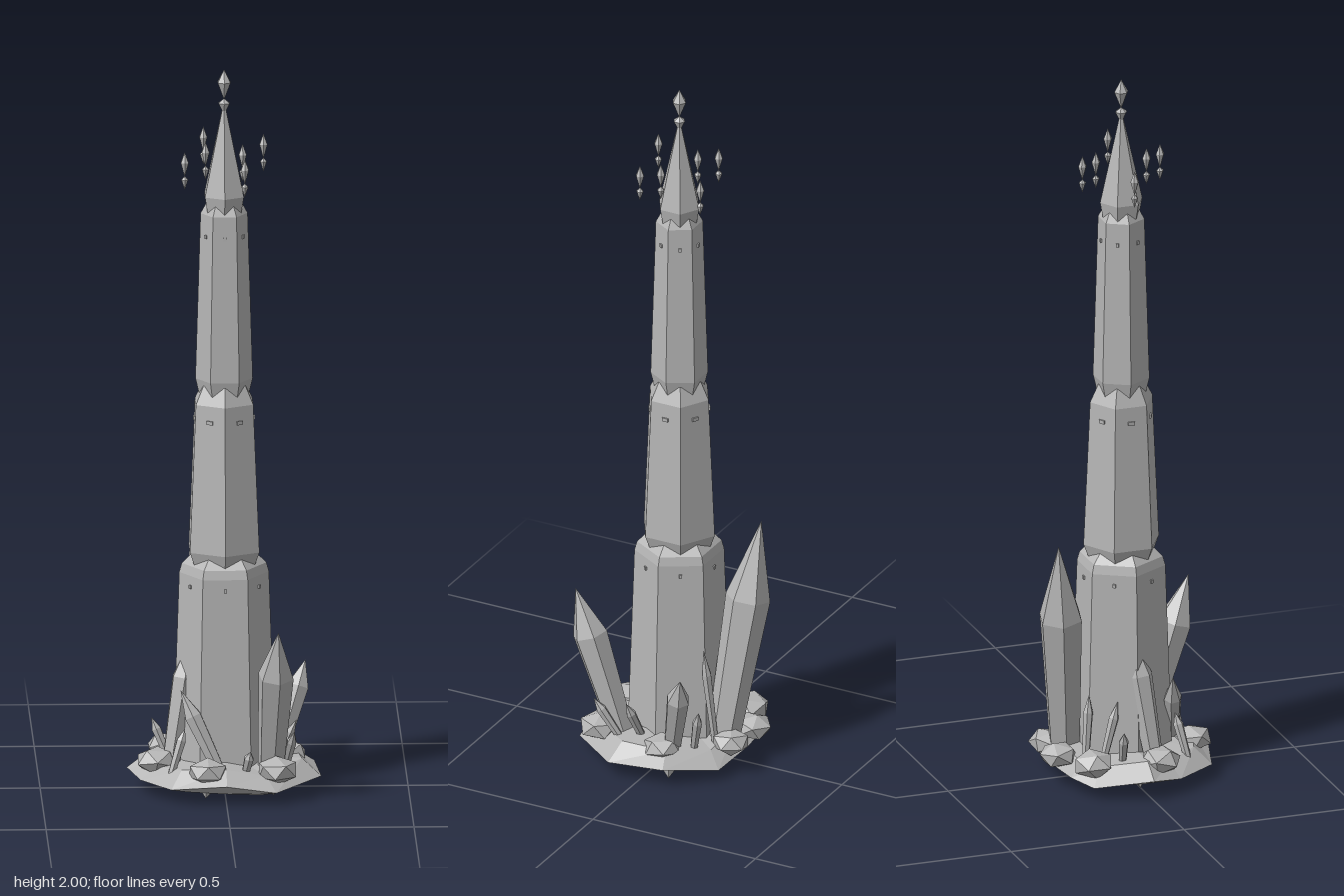
import * as THREE from 'three';

const stone = new THREE.MeshStandardMaterial({ color: 0xb6b6b6, flatShading: true });
stone.name = 'grey stone';

function add(parent, geometry, name) {
  const mesh = new THREE.Mesh(geometry, stone);
  mesh.name = name;
  parent.add(mesh);
  return mesh;
}

// Faceted solid from [radius, height] pairs, listed bottom to top
function faceted(profile, sides = 6) {
  return new THREE.LatheGeometry(profile.map(([r, y]) => new THREE.Vector2(r, y)), sides).toNonIndexed();
}

// Crystal growing from a base point to a tip, widest at the shoulder
function crystal(parent, name, base, tip, radius, shoulder = 0.7, sides = 6, turn = 0) {
  const from = new THREE.Vector3(...base);
  const axis = new THREE.Vector3(...tip).sub(from);
  const h = axis.length();
  const geometry = faceted([[0, 0], [radius * 0.7, 0], [radius, h * shoulder], [0, h]], sides);
  geometry.rotateY(turn);
  const mesh = add(parent, geometry, name);
  mesh.position.copy(from);
  mesh.quaternion.setFromUnitVectors(new THREE.Vector3(0, 1, 0), axis.normalize());
}

// Floating island: rings scaled from one rough outline
function islandGeometry() {
  const outline = [[0.262, 0.08], [0.135, 0.235], [0, 0.25], [-0.15, 0.208], [-0.23, 0.09], [-0.265, 0],
    [-0.205, -0.152], [-0.14, -0.195], [0, -0.215], [0.14, -0.195], [0.248, -0.08]];
  const n = outline.length;
  const rings = [[0, 0.012, 0], [0.7, 0.018, 0.004], [1, 0.045, 0.012], [0.8, 0.085, 0.012], [0, 0.1, 0]];
  const pos = [], index = [];
  rings.forEach(([s, y, wobble]) => outline.forEach(([x, z], j) =>
    pos.push(x * s, y + wobble * Math.sin(j * 2.3 + s * 3), z * s)));
  for (let i = 0; i < rings.length - 1; i++) {
    for (let j = 0; j < n; j++) {
      const a = i * n + j, b = i * n + (j + 1) % n;
      if (i > 0) index.push(a, a + n, b);
      if (i < rings.length - 2) index.push(b, a + n, b + n);
      else index.pop(), index.push(b);
      if (i === 0) index.push(b, a + n, b + n);
    }
  }
  const g = new THREE.BufferGeometry();
  g.setAttribute('position', new THREE.Float32BufferAttribute(pos, 3));
  g.setIndex(index);
  const flat = g.toNonIndexed();
  flat.computeVertexNormals();
  return flat;
}

// Double pointed gem with a smaller drop under it
function gem(parent, name, x, top, z, radius, height) {
  const group = new THREE.Group();
  group.name = name;
  add(group, faceted([[0, -height], [radius, -height * 0.42], [0, 0]], 6), 'gemBody');
  add(group, faceted([[0, -height * 1.5], [radius * 0.85, -height * 1.1], [0, -height * 0.95]], 6), 'gemDrop');
  group.position.set(x, top, z);
  parent.add(group);
}

export function createModel() {
  const model = new THREE.Group();
  model.name = 'crystalTower';

  // Ground
  add(model, islandGeometry(), 'island');
  const rocks = [
    [-0.15, -0.135, 0.06], [0.06, -0.19, 0.055], [-0.185, 0.045, 0.06], [-0.05, 0.185, 0.058],
    [0.175, -0.04, 0.055], [0.14, 0.17, 0.06], [-0.05, -0.2, 0.055],
  ];
  rocks.forEach(([x, z, r], i) => {
    const geometry = new THREE.IcosahedronGeometry(r, 0);
    geometry.rotateX(i * 1.7).rotateY(i * 2.1).scale(1, 0.65, 1);
    add(model, geometry, 'rock').position.set(x, 0.085, z);
  });

  // Small points under the island
  [[0.12, 0.1], [-0.05, 0.14], [-0.14, 0], [0.04, -0.13], [0.17, -0.06], [-0.1, -0.11]].forEach(([x, z], i) =>
    crystal(model, 'undersideCrystal', [x, 0.04, z], [x * 1.1, i % 2 ? 0.003 : 0, z * 1.1], 0.02, 0.4, 5));

  // Tower tiers, each turned by half a side from the one below
  const tiers = [
    ['lowerTier', [[0.14, 0.06], [0.122, 0.6], [0.115, 0.625], [0.085, 0.655], [0, 0.655]], true],
    ['middleTier', [[0, 0.615], [0.09, 0.615], [0.109, 0.665], [0.09, 1.075], [0.066, 1.125], [0, 1.125]], false],
    ['upperTier', [[0, 1.085], [0.065, 1.085], [0.078, 1.14], [0.064, 1.6], [0.045, 1.635], [0, 1.635]], true],
    ['spire', [[0, 1.59], [0.05, 1.59], [0.061, 1.65], [0, 1.915]], false],
  ];
  for (const [name, profile, turned] of tiers) {
    const tier = add(model, faceted(profile), name);
    if (turned) tier.rotation.y = Math.PI / 6;
  }

  // Tiny window ledges, one per tower face
  const ledges = [[0.57, 0.107, true], [1.03, 0.08, false], [1.54, 0.057, true]];
  for (const [y, distance, turned] of ledges) {
    for (let i = 0; i < 6; i++) {
      const angle = (i + (turned ? 0.5 : 0)) * Math.PI / 3;
      const w = turned ? 0.008 : 0.018;
      const ledge = add(model, new THREE.BoxGeometry(0.008, 0.01, w), 'windowLedge');
      ledge.position.set(Math.cos(angle) * distance, y, Math.sin(angle) * distance);
      ledge.rotation.y = -angle;
    }
  }

  // Finial and ring of floating gems at alternating heights
  gem(model, 'finial', 0, 2, 0, 0.02, 0.085);
  for (let i = 0; i < 6; i++) {
    const a = i * Math.PI / 3;
    gem(model, 'floatingGem', 0.107 * Math.cos(a), i % 2 ? 1.77 : 1.82, 0.107 * Math.sin(a), 0.012, 0.07);
  }

  // Large crystals
  crystal(model, 'backCrystal', [0.035, 0.05, -0.15], [-0.08, 0.7, -0.21], 0.062, 0.66, 6, 0.3);
  crystal(model, 'frontCrystal', [0.122, 0.05, 0.105], [0.14, 0.485, 0.245], 0.05, 0.7, 6, 0.2);
  crystal(model, 'leftCrystal', [0.14, 0.05, -0.05], [0.225, 0.325, -0.122], 0.033, 0.75);
  crystal(model, 'innerCrystal', [-0.01, 0.06, 0.145], [-0.122, 0.295, 0.105], 0.025, 0.7);
  crystal(model, 'rightCrystal', [-0.15, 0.05, 0.045], [-0.09, 0.42, 0], 0.036, 0.7);

  // Slim crystals: base x, base z, tip x, tip y, tip z
  const slim = [
    [-0.145, -0.05, -0.195, 0.18, -0.062], [0.13, 0.035, 0.195, 0.2, 0.06], [0.122, -0.108, 0.152, 0.2, -0.14],
    [0.05, 0.155, 0.066, 0.14, 0.187], [0.16, 0.085, 0.186, 0.19, 0.165], [-0.12, -0.1, -0.11, 0.24, -0.05],
    [-0.15, 0.14, -0.11, 0.19, 0.115], [0.07, -0.15, 0.09, 0.36, -0.122], [-0.1, -0.14, -0.08, 0.26, -0.122],
  ];
  for (const [x, z, tx, ty, tz] of slim) crystal(model, 'slimCrystal', [x, 0.06, z], [tx, ty, tz], 0.014, 0.75);

  return model;
}
